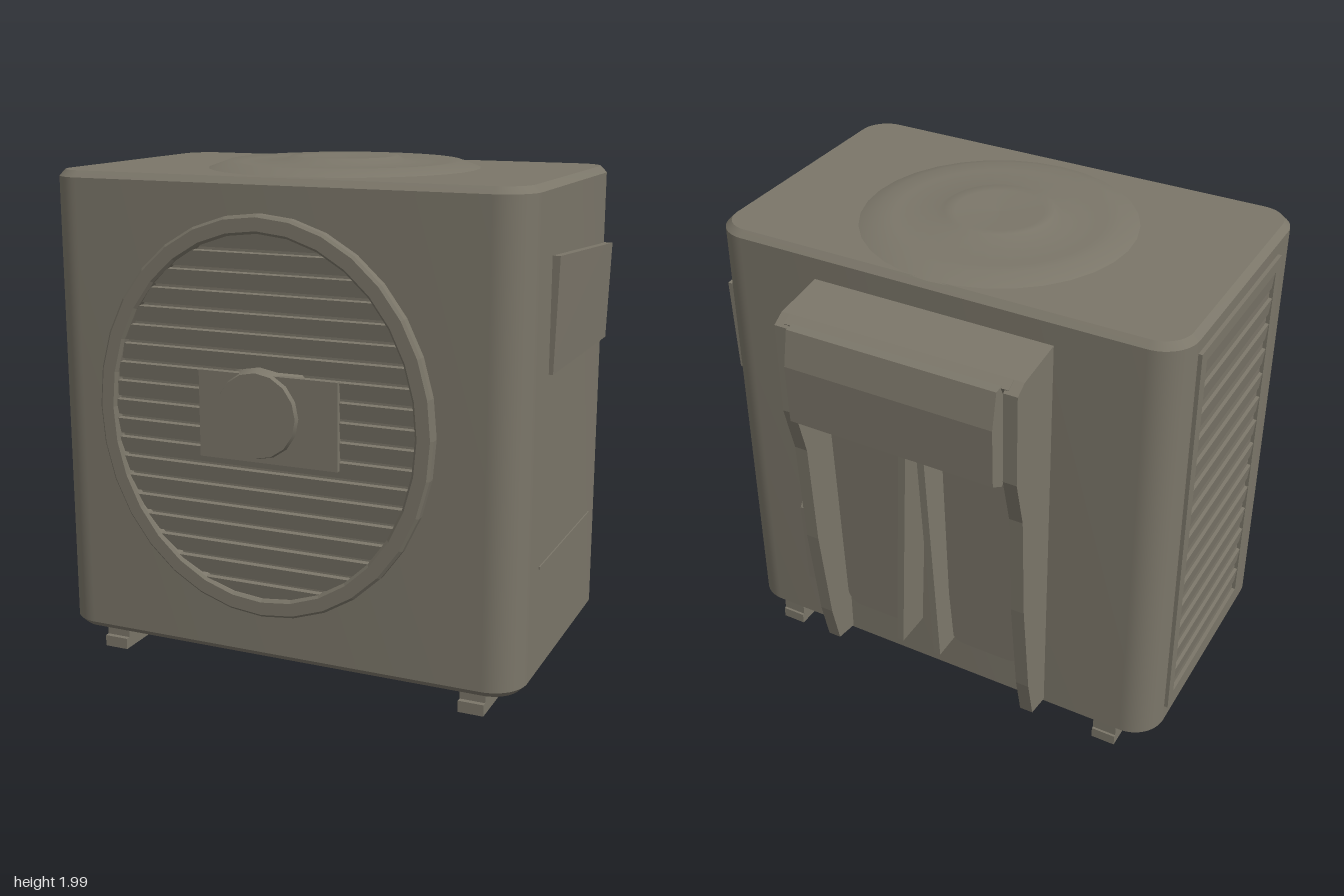
import * as THREE from 'three';
import { toCreasedNormals } from 'three/addons/utils/BufferGeometryUtils.js';

const casing = new THREE.MeshStandardMaterial({ color: 0x7b7669, side: THREE.DoubleSide });
casing.name = 'warm grey casing';

function add(parent, name, geometry) {
  const mesh = new THREE.Mesh(geometry, casing);
  mesh.name = name;
  parent.add(mesh);
  return mesh;
}

// Box given by its min and max on each axis
function box(parent, name, x0, x1, y0, y1, z0, z1) {
  const mesh = add(parent, name, new THREE.BoxGeometry(x1 - x0, y1 - y0, z1 - z0));
  mesh.position.set((x0 + x1) / 2, (y0 + y1) / 2, (z0 + z1) / 2);
  return mesh;
}

// Side profile of [depth behind centre, height] points, extruded along x
function sideProfile(parent, name, points, x0, x1) {
  const shape = new THREE.Shape(points.map(([d, y]) => new THREE.Vector2(d, y)));
  const g = new THREE.ExtrudeGeometry(shape, { depth: x1 - x0, bevelEnabled: false });
  g.rotateY(Math.PI / 2).translate(x0, 0, 0);
  return add(parent, name, g);
}

function roundedRect(x0, x1, y0, y1, r) {
  const s = new THREE.Shape();
  s.moveTo(x0 + r, y0).lineTo(x1 - r, y0);
  s.absarc(x1 - r, y0 + r, r, -Math.PI / 2, 0);
  s.absarc(x1 - r, y1 - r, r, 0, Math.PI / 2);
  s.absarc(x0 + r, y1 - r, r, Math.PI / 2, Math.PI);
  s.absarc(x0 + r, y0 + r, r, Math.PI, Math.PI * 1.5);
  return s;
}

export function createModel() {
  const model = new THREE.Group();
  model.name = 'outdoorUnit';

  // Cabinet with rounded upright corners and a narrow bevel above and below
  const bevel = 0.025;
  const plan = roundedRect(-0.975 + bevel, 0.95 - bevel, -0.68 + bevel, 0.485 - bevel, 0.11);
  let body = new THREE.ExtrudeGeometry(plan, {
    depth: 1.85 - 2 * bevel, bevelSize: bevel, bevelThickness: bevel, bevelSegments: 1, curveSegments: 6,
  });
  body.rotateX(-Math.PI / 2).translate(0, 0.09 + bevel, 0);
  body = toCreasedNormals(body, 0.5);
  add(model, 'cabinet', body);

  // Round fan grille standing clear of the front
  const grille = new THREE.Group();
  grille.name = 'fanGrille';
  grille.position.set(-0.03, 1.06, 0);
  model.add(grille);
  const rx = 0.68, ry = 0.76;
  const ring = new THREE.Shape().absellipse(0, 0, rx, ry, 0, Math.PI * 2);
  ring.holes.push(new THREE.Path().absellipse(0, 0, rx - 0.07, ry - 0.07, 0, Math.PI * 2, true));
  const rim = new THREE.ExtrudeGeometry(ring, {
    depth: 0.03, bevelSize: 0.01, bevelOffset: -0.01, bevelThickness: 0.01, bevelSegments: 1, curveSegments: 16,
  });
  rim.translate(0, 0, 0.73);
  add(grille, 'grilleRim', rim);
  const slats = 19, pitch = 1.4 / slats;
  for (let i = 0; i < slats; i++) {
    const y = (i - (slats - 1) / 2) * pitch;
    const w = (rx - 0.05) * Math.sqrt(1 - (y / (ry - 0.03)) ** 2);
    const slat = box(grille, 'grilleSlat', -w, w, y - 0.03, y + 0.03, 0.735, 0.755);
    slat.rotation.x = 0.15;
  }
  box(grille, 'grilleCrossPlate', -0.24, 0.32, -0.15, 0.18, 0.75, 0.775);
  const hub = new THREE.CylinderGeometry(0.16, 0.2, 0.115, 16).rotateX(Math.PI / 2);
  add(grille, 'fanHub', toCreasedNormals(hub, 0.5)).position.set(0, 0.03, 0.735);

  // Low round emblem-free disc pressed into the roof
  const roof = [[0, 1.975], [0.17, 1.98], [0.21, 1.985], [0.24, 1.965], [0.4, 1.96], [0.46, 1.967], [0.54, 1.938]];
  const disc = new THREE.LatheGeometry(roof.map(([r, y]) => new THREE.Vector2(r, y)).reverse(), 32);
  add(model, 'roofDisc', disc).position.set(0.01, 0, 0.07);

  // Handle cover on the +x side, tapering into the wall at its rear
  const cover = new THREE.BoxGeometry(0.035, 0.43, 0.78);
  const p = cover.attributes.position;
  for (let i = 0; i < p.count; i++) {
    if (p.getX(i) > 0 && p.getY(i) < 0) p.setX(i, 0.004);
    if (p.getZ(i) < 0 && p.getY(i) > 0) p.setY(i, 0.17);
  }
  cover.computeVertexNormals();
  add(model, 'handleCover', cover).position.set(0.962, 1.465, 0);
  box(model, 'sideSeam', 0.945, 0.955, 0.525, 0.535, -0.28, 0.44);

  // Louvred intake on the -x side
  const intake = new THREE.Group();
  intake.name = 'sideIntake';
  model.add(intake);
  for (const z of [-0.33, 0.42]) box(intake, 'intakeFrame', -0.99, -0.97, 0.2, 1.86, z - 0.025, z + 0.025);
  for (const y of [0.22, 1.84]) box(intake, 'intakeFrame', -0.99, -0.97, y - 0.025, y + 0.025, -0.355, 0.445);
  for (let i = 0; i < 14; i++) {
    const louvre = box(intake, 'intakeLouvre', -0.985, -0.97, 0.29 + i * 0.112, 0.36 + i * 0.112, -0.32, 0.41);
    louvre.rotation.z = 0.1;
  }

  // Rear duct: two side walls, an overhanging hood and recessed panels
  const duct = new THREE.Group();
  duct.name = 'rearDuct';
  model.add(duct);
  const wall = [[0.47, 0.12], [0.59, 0.14], [0.63, 0.32], [0.68, 0.75], [0.7, 1.2], [0.75, 1.4],
    [0.75, 1.77], [0.7, 1.8], [0.47, 1.83]];
  sideProfile(duct, 'ductWall', wall, 0.43, 0.485);
  sideProfile(duct, 'ductWall', wall, -0.5, -0.445);
  sideProfile(duct, 'ductTop', [[0.47, 1.78], [0.72, 1.74], [0.74, 1.78], [0.7, 1.8], [0.47, 1.83]], -0.46, 0.45);
  sideProfile(duct, 'ductHood',
    [[0.66, 1.4], [0.73, 1.36], [0.795, 1.4], [0.8, 1.64], [0.77, 1.78], [0.68, 1.79]], -0.43, 0.42);
  for (const s of [-1, 1]) {
    const panel = roundedRect(-0.16, 0.16, -0.56, 0.56, 0.06);
    const g = new THREE.ExtrudeGeometry(panel, { depth: 0.03, bevelEnabled: false, curveSegments: 3 });
    const mesh = add(duct, 'ductPanel', g);
    mesh.position.set(s * 0.25, 0.87, -0.55);
    mesh.rotation.x = -0.04;
    const rib = box(duct, 'ductRib', -0.015, 0.015, 0.32, 1.42, -0.64, -0.48);
    rib.position.x = s * 0.06;
    rib.rotation.z = s * 0.05;
  }

  // Valve cover beside the duct
  sideProfile(model, 'valveCover', [[0.47, 0.4], [0.58, 0.42], [0.595, 0.8], [0.57, 0.84], [0.47, 0.86]], 0.48, 0.57);

  // Foot rails with raised ends
  for (const s of [-1, 1]) {
    const foot = new THREE.Group();
    foot.name = 'foot';
    foot.position.x = s * 0.765;
    model.add(foot);
    box(foot, 'footRail', -0.05, 0.05, 0, 0.045, -0.47, 0.64);
    for (const z of [-0.4, 0.56]) box(foot, 'footBlock', -0.05, 0.05, 0.02, 0.1, z - 0.06, z + 0.06);
  }
  return model;
}
